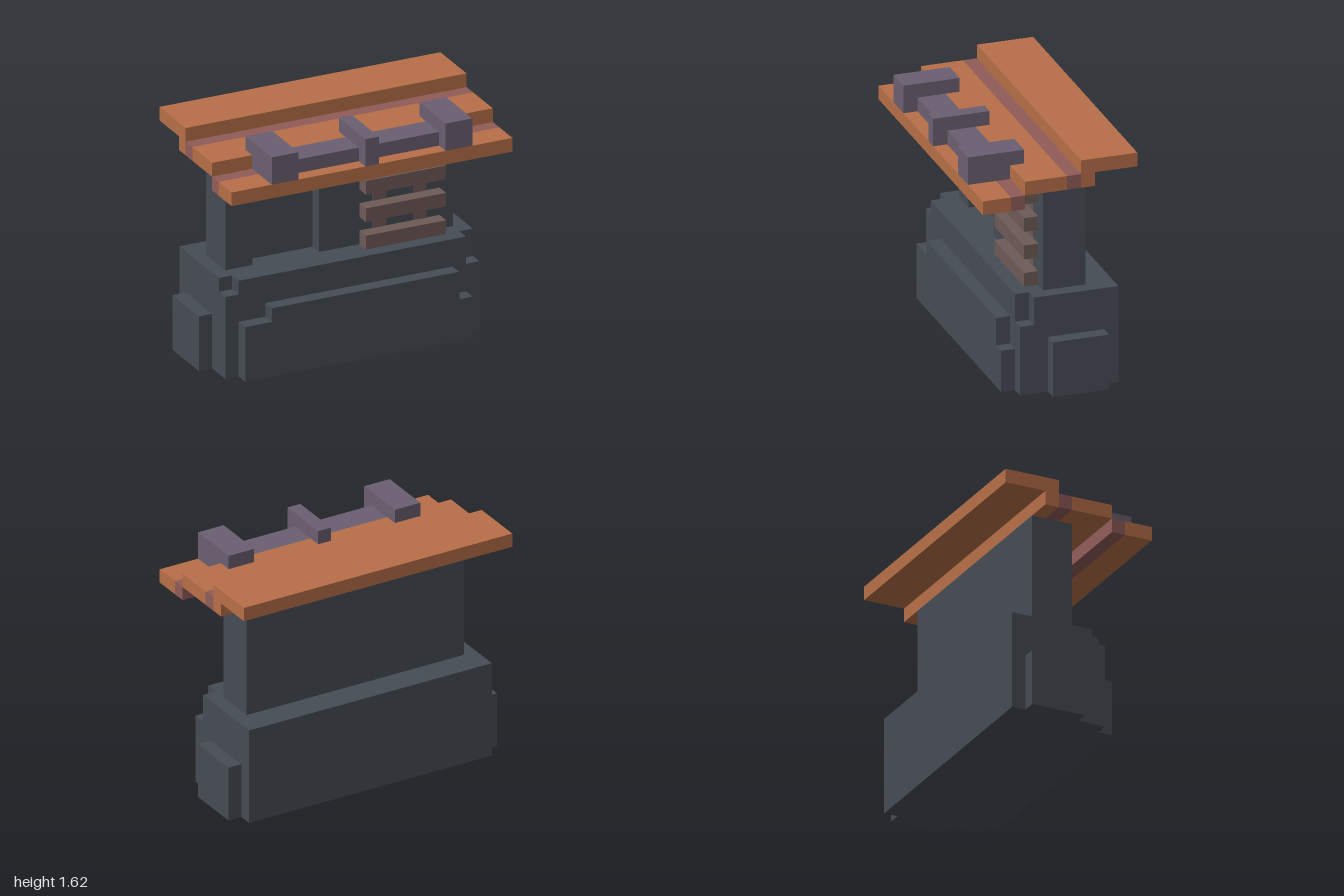
import * as THREE from 'three';

const U = 2 / 21; // one block

const material = (name, color) => {
  const m = new THREE.MeshStandardMaterial({ color });
  m.name = name;
  return m;
};

export function createModel() {
  const model = new THREE.Group();
  model.name = 'blockStall';
  const stone = material('darkStone', 0x464c54);
  const orange = material('orangeWood', 0xb86f48);
  const red = material('redWood', 0x905c58);
  const purple = material('purpleMetal', 0x6b5f71);
  const brown = material('brownWood', 0x6e5a56);

  // Box from its extents, in blocks
  const box = (name, mat, [x0, x1], [y0, y1], [z0, z1], parent = model) => {
    const g = new THREE.BoxGeometry((x1 - x0) * U, (y1 - y0) * U, (z1 - z0) * U);
    g.translate((x0 + x1) / 2 * U, (y0 + y1) / 2 * U, (z0 + z1) / 2 * U);
    const mesh = new THREE.Mesh(g, mat);
    mesh.name = name;
    parent.add(mesh);
  };

  // Outline in blocks, extruded along z
  const slab = (name, mat, points, z0, z1) => {
    const shape = new THREE.Shape(points.map(([x, y]) => new THREE.Vector2(x * U, y * U)));
    const g = new THREE.ExtrudeGeometry(shape, { depth: (z1 - z0) * U, bevelEnabled: false });
    g.translate(0, 0, z0 * U);
    const mesh = new THREE.Mesh(g, mat);
    mesh.name = name;
    model.add(mesh);
  };

  // Base with stepped front layers and a block on each side
  box('baseBody', stone, [-9.5, 9.5], [0, 7], [-4.5, 1.5]);
  slab('baseFrontLayer', stone,
    [[-9.5, 0], [9.5, 0], [9.5, 5], [8.5, 5], [8.5, 7], [-8.5, 7], [-8.5, 6], [-9.5, 6]], 1.5, 2.5);
  slab('baseFrontStep', stone,
    [[-8.5, 0], [8.5, 0], [8.5, 3], [7.5, 3], [7.5, 5], [-6.5, 5], [-6.5, 4], [-8.5, 4]], 2.5, 3.5);
  for (const s of [-1, 1]) {
    box('baseSideBlock', stone, s > 0 ? [9.5, 10.5] : [-10.5, -9.5], [0, 4], [-3.5, 0.5]);
  }

  // Column with a recessed panel in its front
  box('columnBack', stone, [-8.5, 8.5], [7, 15], [-2.5, -0.5]);
  box('columnFrontRight', stone, [-8.5, -6.5], [7, 15], [-0.5, 0.5]);
  box('columnFrontLeft', stone, [-1.5, 8.5], [7, 15], [-0.5, 0.5]);

  // Rack: protruding bars joined by flush uprights
  const rack = new THREE.Group();
  rack.name = 'rack';
  model.add(rack);
  for (let y = 7; y <= 13; y += 2) {
    box('rackBar', brown, [1.5, 7.5], [y, y + 1], [0.5, 1.5], rack);
    if (y < 13) {
      for (const x of [2.5, 5.5]) {
        box('rackUpright', brown, [x, x + 1], [y + 1, y + 2], [0.48, 0.53], rack);
      }
    }
  }

  // Stepped top boards, with red strips at the joints
  const full = [-10.5, 10.5];
  box('frontBoard', orange, full, [14, 15], [3.5, 5.5]);
  box('frontStrip', red, full, [14, 15], [2.5, 3.5]);
  box('middleBoard', orange, full, [15, 16], [-0.5, 2.5]);
  box('middleStrip', red, full, [15, 16], [-1.5, -0.5]);
  box('middleBoardBack', orange, full, [15, 16], [-2.5, -1.5]);
  box('backBoard', orange, full, [16, 17], [-5.5, -1.5]);

  // Brackets hooked over the step, and the rails between them
  for (const [x0, x1] of [[-7.5, -5.5], [-0.5, 0.5], [5.5, 7.5]]) {
    box('bracketTop', purple, [x0, x1], [16, 17], [1.5, 5.5]);
    box('bracketFoot', purple, [x0, x1], [15, 16], [2.5, 5.5]);
  }
  for (const [x0, x1] of [[-5.5, -0.5], [0.5, 5.5]]) {
    box('rail', purple, [x0, x1], [15, 16], [2.5, 4.5]);
  }

  return model;
}
